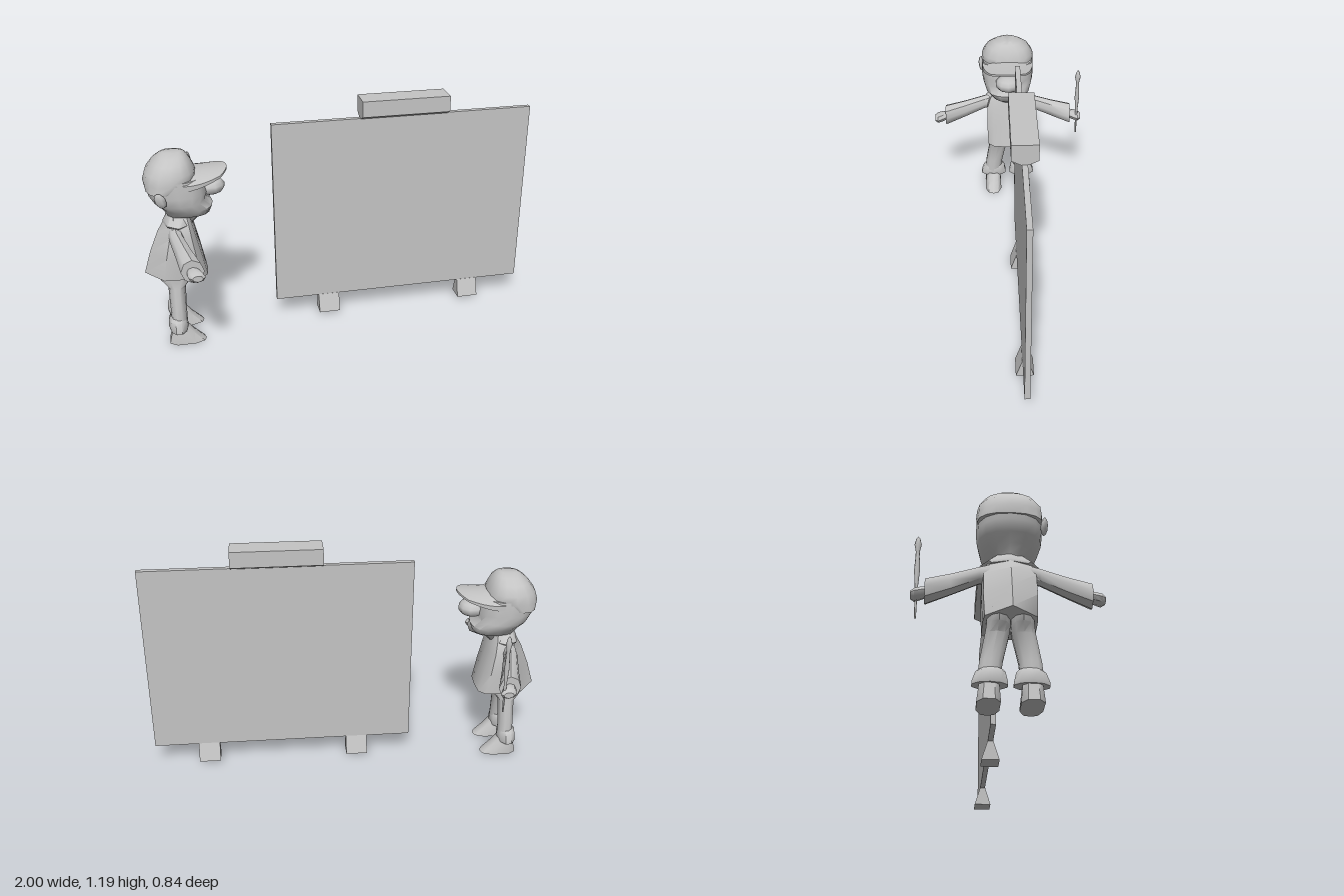
import * as THREE from 'three';
import { toCreasedNormals } from 'three/addons/utils/BufferGeometryUtils.js';

const clay = new THREE.MeshStandardMaterial({ color: 0xc4c4c4 });
clay.name = 'grey clay';

// Outlines in a unit square, counter-clockwise
const circle = (n, p = 1) => Array.from({ length: n }, (_, i) => {
  const a = (i / n) * Math.PI * 2, c = Math.cos(a), s = Math.sin(a);
  return [Math.sign(c) * Math.abs(c) ** p, Math.sign(s) * Math.abs(s) ** p];
});
const mirrored = (half) => [...half, ...half.slice(1, -1).reverse().map(([u, v]) => [u, -v])];

// Sections: horizontal slice (y, back x, front x, centre z, half width) and slice across z
const flat = (y, x0, x1, z, b) => ({ c: [(x0 + x1) / 2, y, z], u: [(x1 - x0) / 2, 0, 0], v: [0, 0, -b] });
const across = (z, x, y, a, b) => ({ c: [x, y, z], u: [a, 0, 0], v: [0, b, 0] });

// Skin the sections, with closed ends; reversing keeps a mirrored limb facing outward
function loft(sections, outline, crease = 0.8) {
  const n = outline.length, pos = [], idx = [];
  sections.forEach(({ c, u, v }) => outline.forEach(([s, t]) => {
    for (let k = 0; k < 3; k++) pos.push(c[k] + u[k] * s + v[k] * t);
  }));
  for (let r = 0; r < sections.length - 1; r++) {
    for (let i = 0; i < n; i++) {
      const a = r * n + i, b = r * n + ((i + 1) % n);
      idx.push(a, b, b + n, a, b + n, a + n);
    }
  }
  const top = (sections.length - 1) * n;
  for (let i = 1; i < n - 1; i++) idx.push(0, i + 1, i, top, top + i, top + i + 1);
  const g = new THREE.BufferGeometry();
  g.setAttribute('position', new THREE.Float32BufferAttribute(pos, 3));
  g.setIndex(idx);
  return toCreasedNormals(g, crease);
}

function add(parent, name, geometry, x = 0, y = 0, z = 0) {
  const m = new THREE.Mesh(geometry, clay);
  m.name = name;
  m.position.set(x, y, z);
  parent.add(m);
  return m;
}

// Prism with a (z, y) profile running along x
function prism(points, x0, x1) {
  const shape = new THREE.Shape(points.map(([z, y]) => new THREE.Vector2(-z, y)));
  const g = new THREE.ExtrudeGeometry(shape, { depth: x1 - x0, bevelEnabled: false });
  return g.rotateY(Math.PI / 2).translate(x0, 0, 0);
}

function makeBoard() {
  const g = new THREE.Group();
  g.name = 'board';
  add(g, 'panel', new THREE.BoxGeometry(1.335, 0.98, 0.026), 0.3325, 0.6, -0.034);
  add(g, 'topBox', prism([[-0.05, 1.088], [-0.096, 1.11], [-0.096, 1.19], [0.026, 1.19], [0.026, 1.11], [-0.018, 1.088]], 0.11, 0.555));
  for (const x of [-0.11, 0.665]) {
    add(g, 'foot', prism([[-0.077, 0.017], [-0.047, 0.112], [-0.02, 0.112], [0.01, 0.017]], x, x + 0.11));
  }
  return g;
}

function makeHead() {
  const g = new THREE.Group();
  g.name = 'head';
  add(g, 'face', loft([
    flat(0.62, -0.85, -0.76, 0, 0.05), flat(0.675, -0.86, -0.70, 0, 0.06), flat(0.69, -0.87, -0.655, 0, 0.09),
    flat(0.73, -0.89, -0.64, 0, 0.125), flat(0.765, -0.925, -0.675, 0, 0.14), flat(0.81, -0.952, -0.66, 0, 0.145),
    flat(0.89, -0.96, -0.685, 0, 0.142),
  ], circle(16, 0.85), 1.1));
  add(g, 'cap', loft([
    flat(0.835, -0.96, -0.79, 0, 0.143), flat(0.875, -0.967, -0.71, 0, 0.146), flat(0.92, -0.953, -0.715, 0, 0.142),
    flat(0.965, -0.918, -0.735, 0, 0.115), flat(0.992, -0.885, -0.755, 0, 0.075), flat(1.005, -0.865, -0.775, 0, 0.03),
  ], circle(16, 0.85), 1.1));

  // Peak: a slab rounded at the front and arched from side to side
  const peak = new THREE.BoxGeometry(1, 0.018, 1, 5, 1, 10);
  const p = peak.attributes.position;
  for (let i = 0; i < p.count; i++) {
    const t = p.getX(i) + 0.5, s = p.getZ(i) * 2;
    const z = s * (0.142 - 0.045 * t * t);
    const x = -0.78 + t * (0.218 - 0.04 * s * s);
    p.setXYZ(i, x, p.getY(i) * (1.6 - t) + 0.896 + 0.012 * t * t - 1.7 * z * z, z);
  }
  add(g, 'capPeak', toCreasedNormals(peak, 0.8));

  add(g, 'nose', new THREE.SphereGeometry(1, 10, 7).scale(0.07, 0.045, 0.072), -0.645, 0.815, 0);
  const ear = add(g, 'ear', new THREE.SphereGeometry(1, 6, 5).scale(0.03, 0.042, 0.014), -0.89, 0.815, 0.147);
  ear.rotation.set(0.2, -0.35, 0.3);
  return g;
}

function makeFigure() {
  const g = new THREE.Group();
  g.name = 'painter';
  g.position.z = 0.005;
  g.add(makeHead());

  // Smock, drawn out to a point at the back of the hem
  const plan = mirrored([[1, 0], [0.97, 0.7], [0.75, 1], [0, 1], [-0.4, 0.95], [-1, 0]]);
  add(g, 'smock', loft([
    flat(0.365, -1.0, -0.687, 0, 0.115), flat(0.48, -0.965, -0.71, 0, 0.12), flat(0.59, -0.92, -0.735, 0, 0.118),
    flat(0.65, -0.885, -0.75, 0, 0.1), flat(0.715, -0.85, -0.77, 0, 0.055),
  ], plan));
  add(g, 'collar', loft([
    flat(0.64, -0.89, -0.745, 0, 0.11), flat(0.652, -0.888, -0.742, 0, 0.128), flat(0.70, -0.86, -0.755, 0, 0.06),
  ], circle(8)));

  for (const s of [1, -1]) {
    const limb = (name, list, outline) => {
      const secs = list.map((a) => across(s * a[0], ...a.slice(1)));
      add(g, name, loft(s > 0 ? secs : secs.reverse(), outline));
    };
    limb('sleeve', [
      [0.07, -0.835, 0.605, 0.035, 0.045], [0.13, -0.83, 0.595, 0.036, 0.04],
      [0.25, -0.80, 0.565, 0.044, 0.05], [0.36, -0.772, 0.542, 0.055, 0.06],
    ], circle(8));
    limb('hand', [
      [0.34, -0.775, 0.542, 0.025, 0.022], [0.375, -0.765, 0.538, 0.034, 0.028],
      [0.405, -0.755, 0.534, 0.04, 0.027], [0.422, -0.752, 0.535, 0.025, 0.016],
    ], circle(8));

    add(g, 'leg', loft([
      flat(0.10, -0.89, -0.81, s * 0.088, 0.05), flat(0.18, -0.89, -0.81, s * 0.08, 0.05),
      flat(0.305, -0.892, -0.805, s * 0.055, 0.053), flat(0.34, -0.925, -0.775, s * 0.05, 0.052),
      flat(0.40, -0.94, -0.76, s * 0.05, 0.05),
    ], circle(10)));
    add(g, 'trouserCuff', loft([
      flat(0.075, -0.903, -0.812, s * 0.085, 0.077), flat(0.09, -0.907, -0.808, s * 0.085, 0.076),
      flat(0.13, -0.903, -0.812, s * 0.082, 0.064), flat(0.145, -0.89, -0.82, s * 0.08, 0.05),
    ], circle(10)));
    add(g, 'shoe', loft([
      flat(0, -0.908, -0.722, s * 0.089, 0.048), flat(0.012, -0.906, -0.735, s * 0.089, 0.048),
      flat(0.05, -0.897, -0.775, s * 0.088, 0.044), flat(0.09, -0.89, -0.808, s * 0.088, 0.04),
    ], mirrored([[1, 0], [0.9, 0.6], [0.4, 1], [-0.6, 1], [-1, 0.5], [-1, 0]])));
  }

  // Paintbrush held upright
  const profile = [[0, 0.43], [0.004, 0.432], [0.006, 0.54], [0.008, 0.60], [0.013, 0.67], [0.009, 0.74], [0.009, 0.765], [0.016, 0.80], [0.009, 0.83], [0, 0.843]];
  add(g, 'paintbrush', new THREE.LatheGeometry(profile.map(([r, y]) => new THREE.Vector2(r, y)), 8), -0.735, 0, -0.398);
  return g;
}

export function createModel() {
  const model = new THREE.Group();
  model.name = 'painterAndBoard';
  model.add(makeBoard(), makeFigure());
  return model;
}
